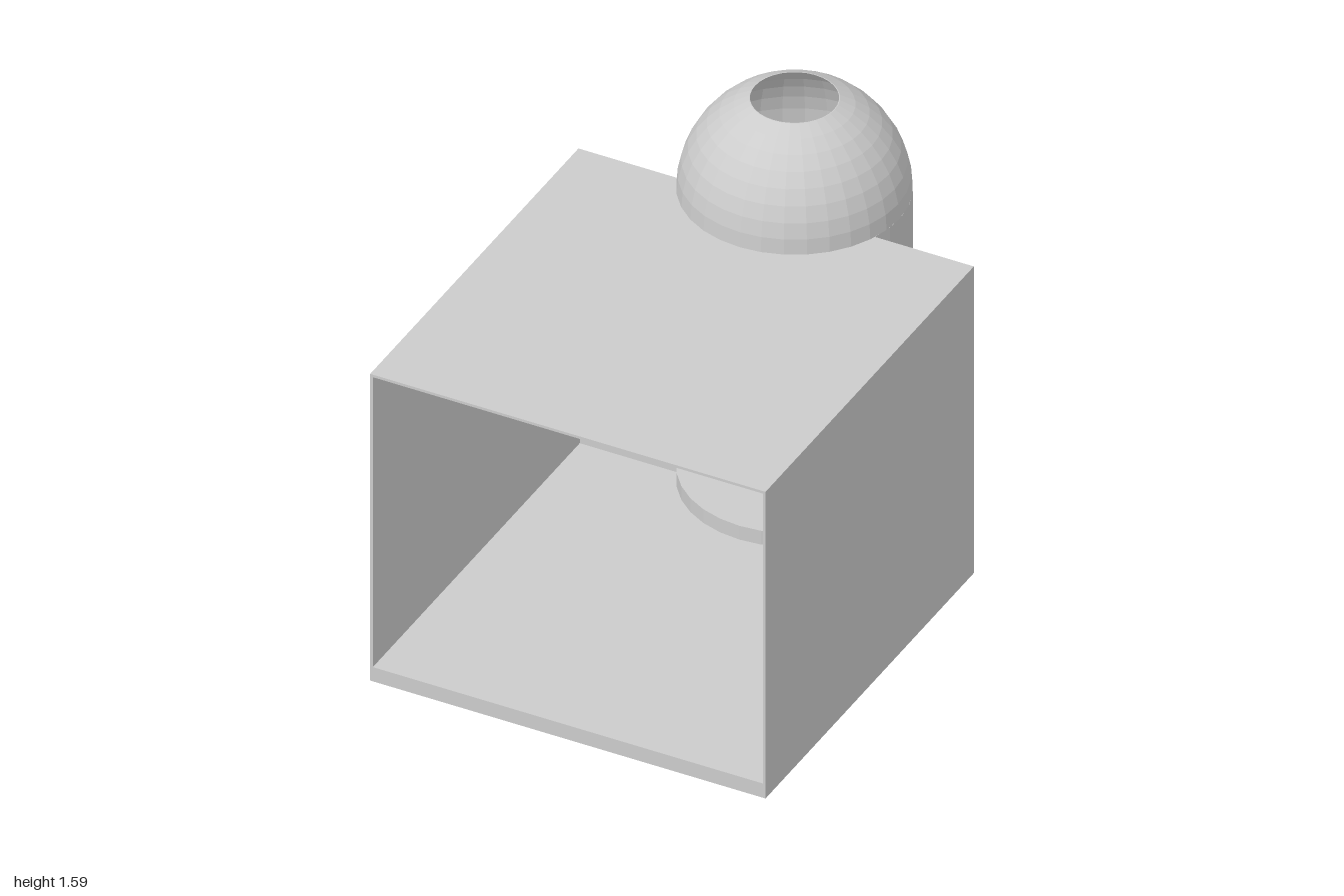
import * as THREE from 'three';

const W = 0.735, H = 1.23, FRONT = 1, BACK = -0.475; // room
const T = 0.01, FLOOR = 0.06;                        // wall and floor thickness
const CZ = -0.605, R = 0.39, RI = 0.382;             // round tower
const HOLE = 0.15, BASE_TOP = 0.115;

export function createModel() {
  const model = new THREE.Group();
  const mat = new THREE.MeshStandardMaterial({
    color: 0xcccccc, flatShading: true, side: THREE.DoubleSide,
  });

  const add = (name, geometry, x = 0, y = 0, z = 0) => {
    const mesh = new THREE.Mesh(geometry, mat);
    mesh.name = name;
    mesh.position.set(x, y, z);
    model.add(mesh);
    return mesh;
  };
  // Box given by its minimum and maximum corners
  const block = (name, x0, x1, y0, y1, z0, z1) => add(name,
    new THREE.BoxGeometry(x1 - x0, y1 - y0, z1 - z0),
    (x0 + x1) / 2, (y0 + y1) / 2, (z0 + z1) / 2);

  const dz = BACK - CZ;                       // tower centre to back wall
  const gap = Math.sqrt(RI * RI - dz * dz);   // half width of the doorway

  // Open-fronted room: floor, side walls and back wall beside the doorway
  block('floor', -W, W, 0.003, FLOOR, BACK, FRONT);
  for (const [side, s] of [['left', 1], ['right', -1]]) {
    const span = (a, b) => (s > 0 ? [a, b] : [-b, -a]);
    block(side + 'Wall', ...span(W - T, W), FLOOR, H - T, BACK, FRONT);
    block(side + 'BackWall', ...span(gap, W - T), FLOOR, H - T, BACK, BACK + T);
  }

  // Roof, cut away under the dome
  const a = Math.atan2(dz, gap);
  const roof = new THREE.Shape();
  roof.moveTo(-W, -FRONT);
  roof.lineTo(W, -FRONT);
  roof.lineTo(W, -BACK);
  roof.lineTo(gap, -BACK);
  roof.absarc(0, -CZ, RI, -a, -Math.PI + a, true);
  roof.lineTo(-W, -BACK);
  roof.closePath();
  const roofGeo = new THREE.ExtrudeGeometry(roof, { depth: T, bevelEnabled: false, curveSegments: 16 });
  add('roof', roofGeo.rotateX(-Math.PI / 2), 0, H - T, 0);

  // Round base, reaching into the room as a low step
  add('towerBase', new THREE.CylinderGeometry(R, R, BASE_TOP, 32), 0, BASE_TOP / 2, CZ);

  // Tower wall, open towards the room
  const start = Math.acos(dz / R);
  const wall = [[R, 0], [R, H], [RI, H], [RI, BASE_TOP]].map(p => new THREE.Vector2(...p));
  add('towerWall', new THREE.LatheGeometry(wall, 20, start, 2 * (Math.PI - start)), 0, 0, CZ);

  // Hollow dome with a round opening at the top
  const end = Math.acos(HOLE / R), rows = 8, outer = [];
  for (let i = 0; i <= rows; i++) {
    const t = (end * i) / rows;
    outer.push(new THREE.Vector2(R * Math.cos(t), R * Math.sin(t)));
  }
  const inner = outer.map(p => new THREE.Vector2(p.x * RI / R, p.y)).reverse();
  add('dome', new THREE.LatheGeometry([...outer, ...inner, outer[0].clone()], 32), 0, H, CZ);

  return model;
}
